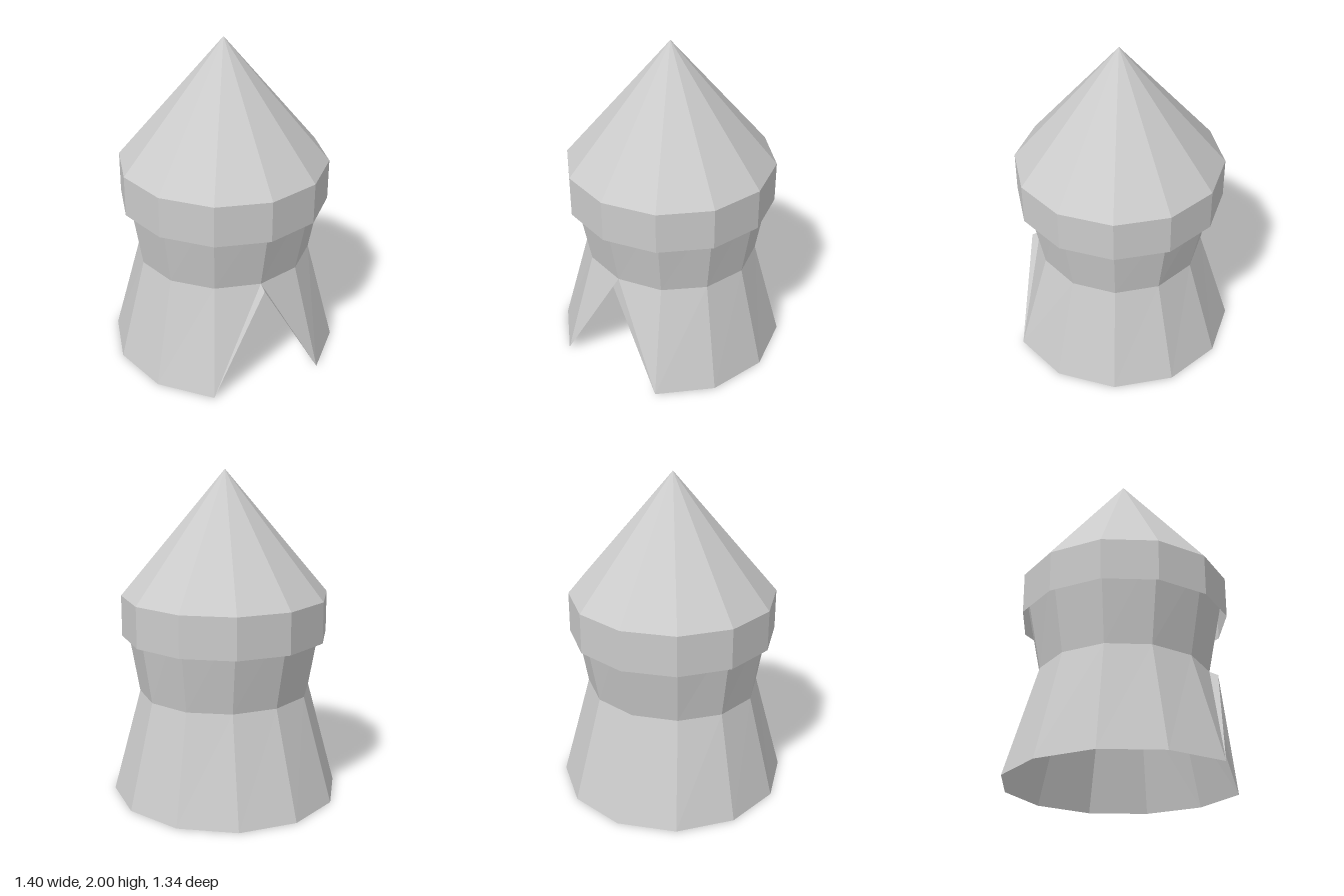
import * as THREE from 'three';

const SIDES = 12;
const CENTRE_Z = 0.04;
const material = new THREE.MeshStandardMaterial({
  color: 0xcccccc, flatShading: true, side: THREE.DoubleSide,
});

// Corner k of an elliptical ring; k = 0 is the front
function corner({ y, rx, rz }, k) {
  const a = (k / SIDES) * Math.PI * 2;
  return [Math.sin(a) * rx, y, Math.cos(a) * rz + CENTRE_Z];
}

function meshFrom(name, triangles) {
  const geometry = new THREE.BufferGeometry();
  geometry.setAttribute('position', new THREE.Float32BufferAttribute(triangles.flat(2), 3));
  geometry.computeVertexNormals();
  const mesh = new THREE.Mesh(geometry, material);
  mesh.name = name;
  return mesh;
}

// Faceted cloth between two rings; a doorway leaves out the front bottom corner
function cloth(name, low, high, doorway = false) {
  const triangles = [];
  for (let k = 0; k < SIDES; k++) {
    const a = corner(low, k), b = corner(low, k + 1);
    const c = corner(high, k + 1), d = corner(high, k);
    if (doorway && k === 0) triangles.push([b, c, d]);
    else if (doorway && k === SIDES - 1) triangles.push([a, c, d]);
    else triangles.push([a, b, c], [a, c, d]);
  }
  return meshFrom(name, triangles);
}

export function createModel() {
  const group = new THREE.Group();
  group.name = 'tent';

  const base = { y: 0, rx: 0.7, rz: 0.711 };
  const waist = { y: 0.65, rx: 0.535, rz: 0.512 };
  const eaves = { y: 1.25, rx: 0.631, rz: 0.631 };
  const hem = { ...eaves, y: 1 };

  // Walls, open underneath, with a triangular doorway
  group.add(cloth('lowerWall', base, waist, true));
  group.add(cloth('upperWall', waist, eaves));

  // Hanging valance around the eaves
  group.add(cloth('valance', hem, eaves));

  // Conical roof
  const roof = new THREE.Mesh(new THREE.ConeGeometry(0.631, 0.75, SIDES, 1, true), material);
  roof.name = 'roof';
  roof.position.set(0, 1.625, CENTRE_Z);
  group.add(roof);

  // Narrow door flaps folded outward along each side of the doorway
  const peak = corner(waist, 0);
  const tip = [0, 0.625, 0.602];
  group.add(meshFrom('leftDoorFlap', [[peak, tip, corner(base, 1)]]));
  group.add(meshFrom('rightDoorFlap', [[peak, corner(base, -1), tip]]));

  return group;
}
